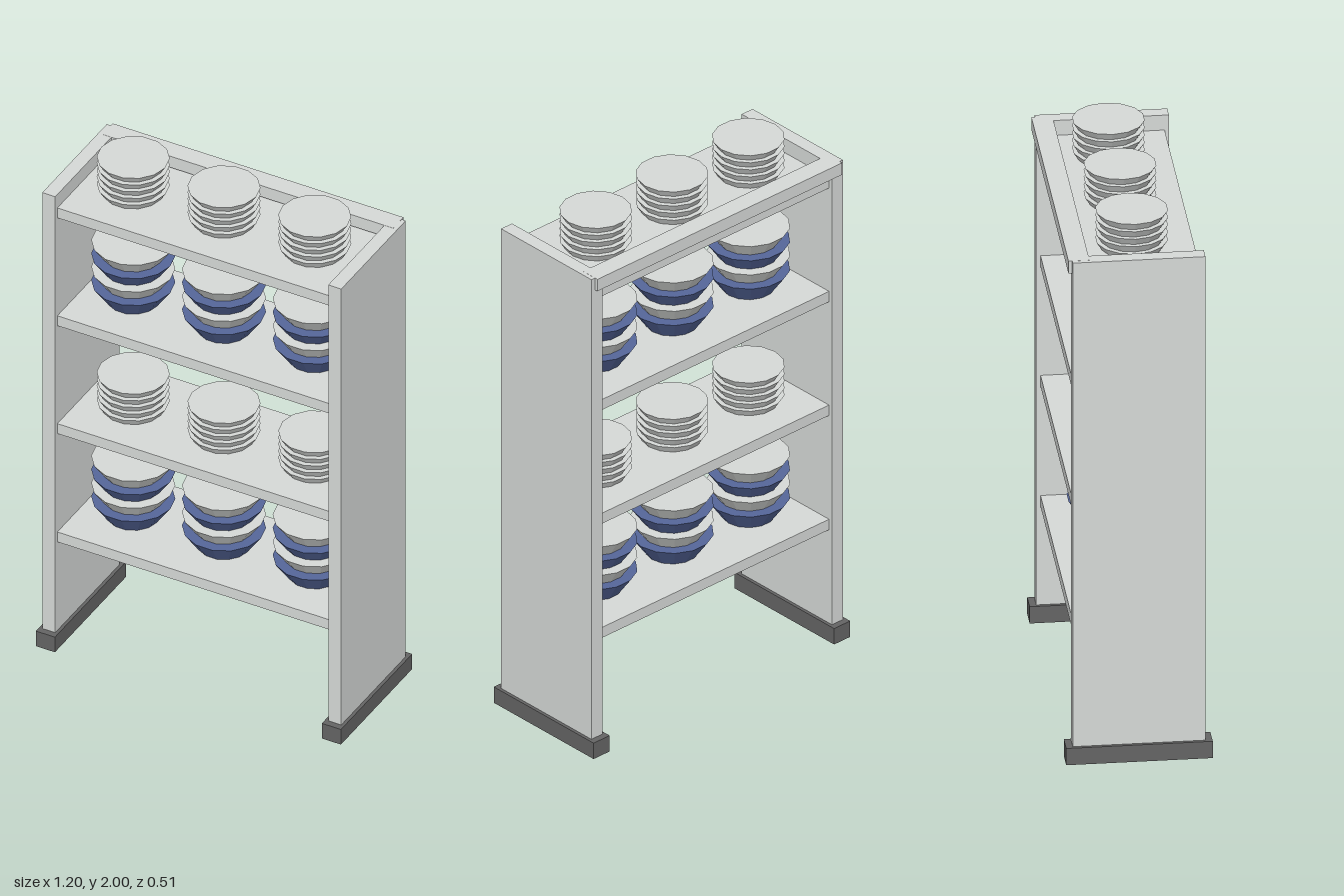
import * as THREE from 'three';

const mat = (name, color) => {
  const m = new THREE.MeshStandardMaterial({ color });
  m.name = name;
  return m;
};

export function createModel() {
  const model = new THREE.Group();
  model.name = 'dishRack';
  const paleGrey = mat('paleGrey', 0xd6d9d7);
  const blue = mat('blue', 0x55669a);
  const darkGrey = mat('darkGrey', 0x646464);

  // Box given by its lower and upper corners
  const box = (name, material, [x0, y0, z0], [x1, y1, z1]) => {
    const mesh = new THREE.Mesh(new THREE.BoxGeometry(x1 - x0, y1 - y0, z1 - z0), material);
    mesh.position.set((x0 + x1) / 2, (y0 + y1) / 2, (z0 + z1) / 2);
    mesh.name = name;
    model.add(mesh);
  };

  // Side panels on dark feet
  for (const [side, s] of [['left', 1], ['right', -1]]) {
    const lo = (a, b) => Math.min(s * a, s * b);
    const hi = (a, b) => Math.max(s * a, s * b);
    box(side + 'Panel', paleGrey, [lo(0.537, 0.588), 0.06, -0.23], [hi(0.537, 0.588), 1.915, 0.23]);
    box(side + 'Foot', darkGrey, [lo(0.525, 0.6), 0, -0.254], [hi(0.525, 0.6), 0.064, 0.254]);
  }

  // Shelves and the rail behind the top one
  const shelfTops = [0.482, 0.942, 1.4, 1.858];
  shelfTops.forEach((y, i) =>
    box('shelf' + (i + 1), paleGrey, [-0.54, y - 0.042, -0.215], [0.54, y, 0.215]));
  box('backRail', paleGrey, [-0.572, 1.868, -0.243], [0.572, 1.9155, -0.17]);

  // Faceted dishes, with a corner of the rim pointing along x
  const dish = (top, bottom, height) => {
    const g = new THREE.CylinderGeometry(top, bottom, height, 14).toNonIndexed();
    g.rotateY(Math.PI / 2);
    g.translate(0, height / 2, 0);
    g.computeVertexNormals();
    return g;
  };
  const plateGeo = dish(0.126, 0.108, 0.0284);
  const bowlGeo = dish(0.145, 0.093, 0.074);

  // Stacks: bowls on the first and third shelves, plates on the others
  shelfTops.forEach((y, shelf) => {
    const bowls = shelf % 2 === 0;
    for (const x of [-0.357, 0, 0.357]) {
      const stack = new THREE.Group();
      stack.name = bowls ? 'bowlStack' : 'plateStack';
      stack.position.set(x, y, 0);
      for (let i = 0; i < (bowls ? 4 : 5); i++) {
        const mesh = new THREE.Mesh(bowls ? bowlGeo : plateGeo, bowls && i % 2 === 0 ? blue : paleGrey);
        mesh.name = bowls ? 'bowl' : 'plate';
        mesh.position.y = i * (bowls ? 0.057 : 0.0284);
        stack.add(mesh);
      }
      model.add(stack);
    }
  });
  return model;
}
